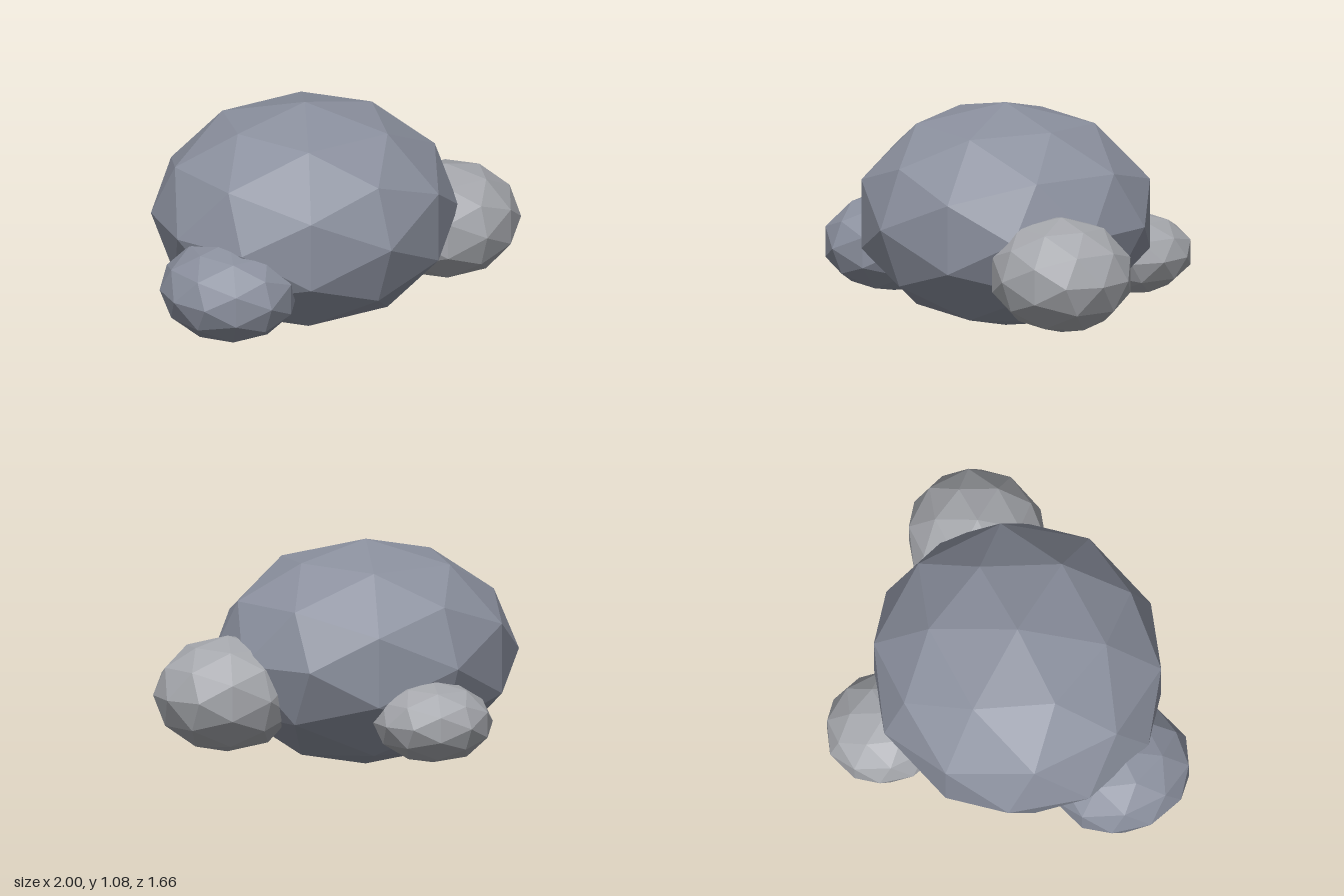
import * as THREE from 'three';

// One faceted boulder: a once-divided icosahedron stretched along each axis
function boulder(name, color, center, radii) {
  const geometry = new THREE.IcosahedronGeometry(1, 1);
  geometry.scale(...radii);
  const material = new THREE.MeshStandardMaterial({ color, flatShading: true });
  const mesh = new THREE.Mesh(geometry, material);
  mesh.name = name;
  mesh.position.set(...center);
  return mesh;
}

export function createModel() {
  const group = new THREE.Group();
  group.name = 'rockCluster';
  group.add(
    // large central rock
    boulder('mainRock', 0x8b909e, [-0.075, 0.54, 0.118], [0.74, 0.54, 0.712]),
    // smaller rocks leaning against it
    boulder('leftRock', 0xa5a7ac, [0.637, 0.387, 0.273], [0.363, 0.278, 0.337]),
    boulder('rightRock', 0x8b909e, [-0.68, 0.33, 0.352], [0.32, 0.24, 0.352]),
    boulder('backRock', 0xa5a7ac, [0.028, 0.293, -0.53], [0.28, 0.195, 0.3])
  );
  return group;
}
